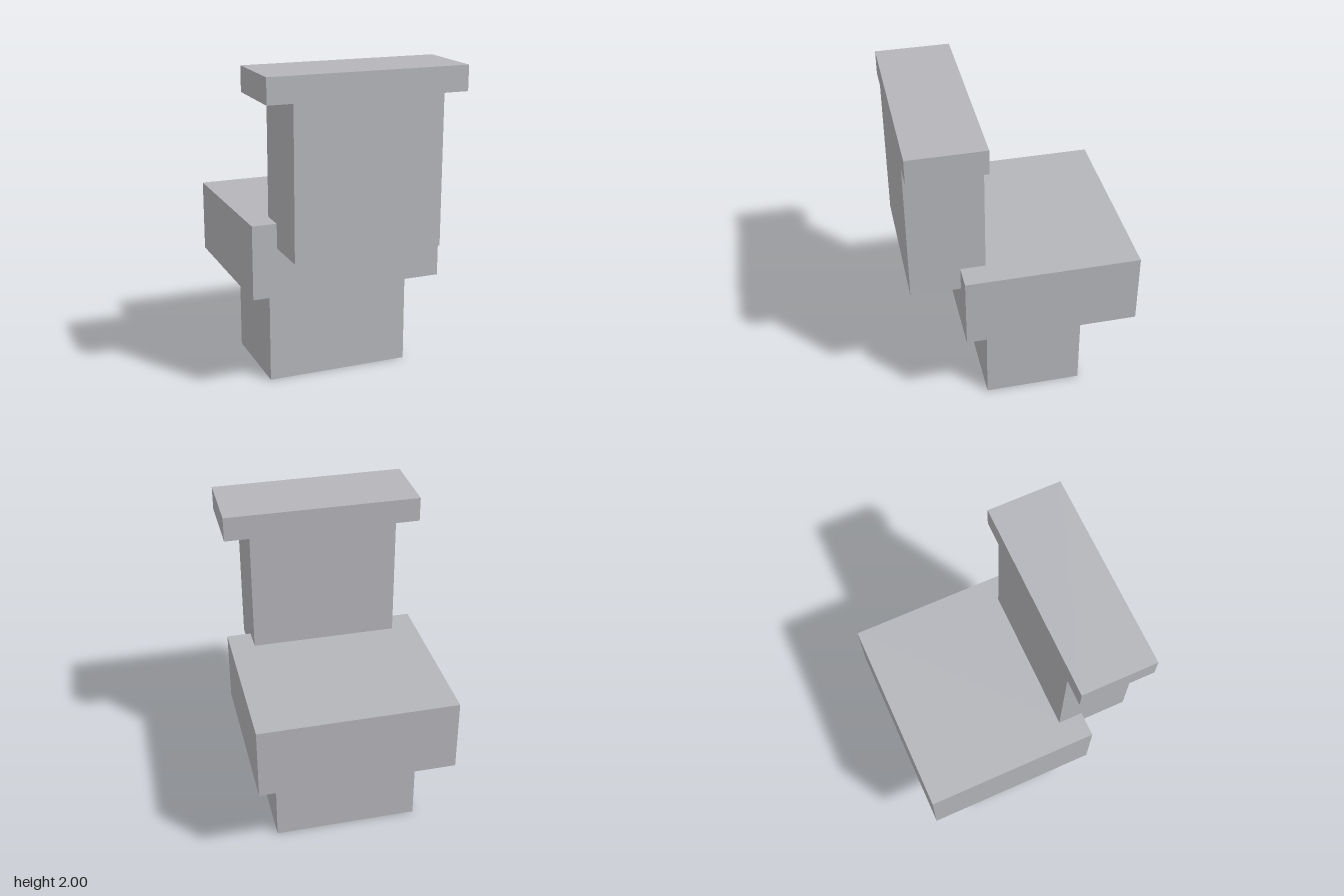
import * as THREE from 'three';

// Everything sits on a grid of 13 units to the full height
const U = 2 / 13;

export function createModel() {
  const model = new THREE.Group();
  model.name = 'blockChair';
  const grey = new THREE.MeshStandardMaterial({ color: 0xb4b5ba });
  grey.name = 'lightGrey';

  // Box given by half width and its y and z ranges, in grid units
  const block = (name, halfWidth, y0, y1, z0, z1) => {
    const geometry = new THREE.BoxGeometry(2 * halfWidth * U, (y1 - y0) * U, (z1 - z0) * U);
    const mesh = new THREE.Mesh(geometry, grey);
    mesh.name = name;
    mesh.position.set(0, (y0 + y1) / 2 * U, (z0 + z1) / 2 * U);
    model.add(mesh);
  };

  block('pedestal', 3, 0, 4, -2.5, 1.5);
  block('seat', 4, 4, 7, -4.5, 2.5);

  // T-shaped upright, set into the front edge of the seat
  const half = [[3, 6], [3, 12], [4, 12], [4, 13]];
  const outline = [...half, ...half.map(([x, y]) => [-x, y]).reverse()];
  const shape = new THREE.Shape(outline.map(([x, y]) => new THREE.Vector2(x * U, y * U)));
  const upright = new THREE.Mesh(
    new THREE.ExtrudeGeometry(shape, { depth: 3 * U, bevelEnabled: false }), grey);
  upright.name = 'upright';
  upright.position.z = 1.5 * U;
  model.add(upright);

  return model;
}
